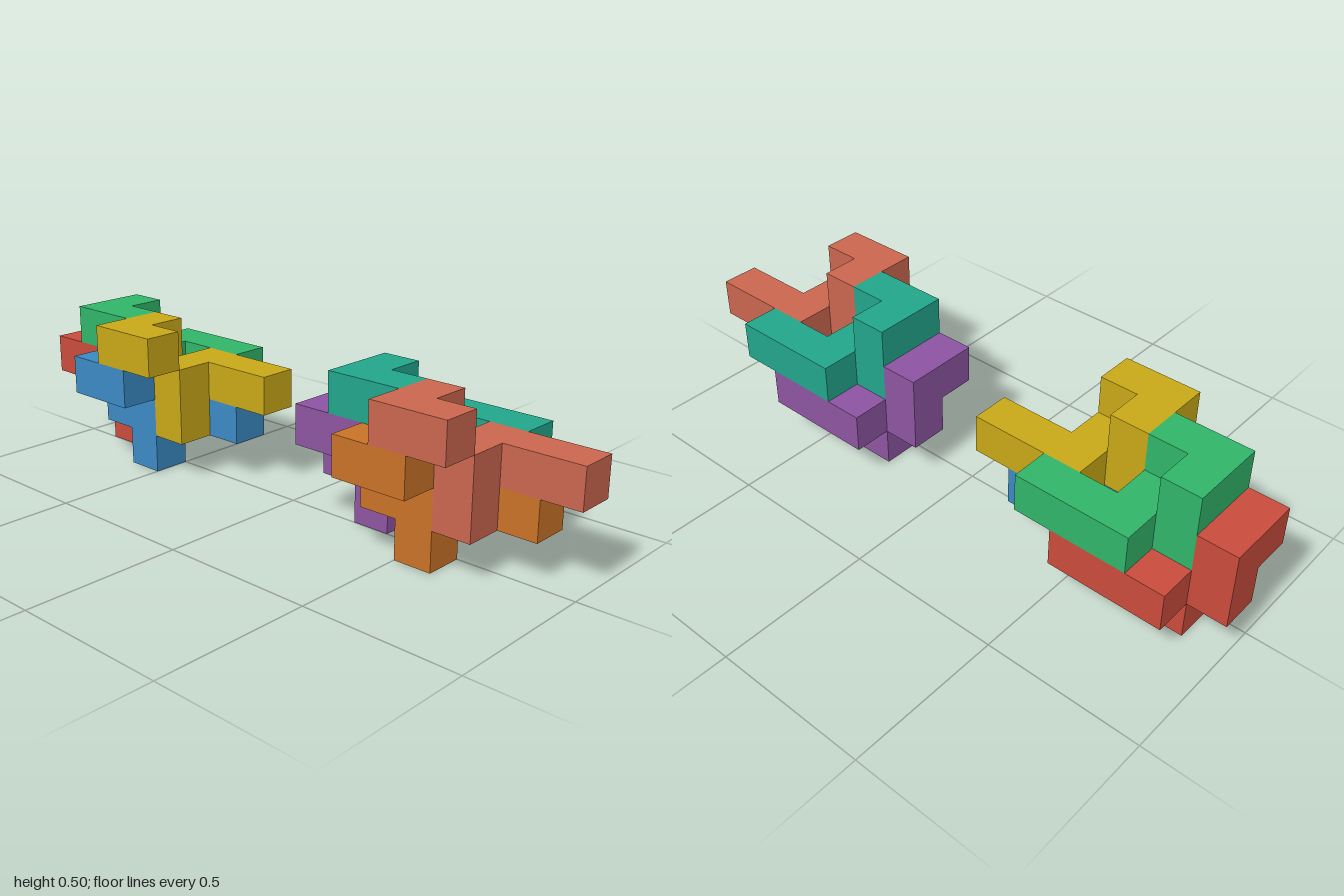
import * as THREE from 'three';
import { mergeGeometries } from 'three/addons/utils/BufferGeometryUtils.js';

const U = 0.125; // edge of one unit cube

// Cells of the burr piece, walked from the end of its bar to its hook, plus the leg
const CELLS = [
  [3, 1, 0], [2, 1, 0], [1, 1, 0], // bar
  [1, 1, 1], [0, 1, 1],            // step
  [0, 2, 1], [0, 2, 2], [1, 2, 2], // raised hook
  [1, 0, 1],                       // leg
];

// Outer skin of the piece: a square wherever a cell has no neighbour
function pieceGeometry() {
  const filled = new Set(CELLS.map(String));
  const directions = [[1, 0, 0], [-1, 0, 0], [0, 1, 0], [0, -1, 0], [0, 0, 1], [0, 0, -1]];
  const forward = new THREE.Vector3(0, 0, 1);
  const faces = [];
  for (const cell of CELLS) {
    for (const d of directions) {
      if (filled.has(String(cell.map((c, a) => c + d[a])))) continue;
      const face = new THREE.PlaneGeometry(U, U);
      face.applyQuaternion(new THREE.Quaternion().setFromUnitVectors(forward, new THREE.Vector3(...d)));
      face.translate(...cell.map((c, a) => (c + 0.5 + d[a] / 2) * U));
      faces.push(face);
    }
  }
  return mergeGeometries(faces);
}

export function createModel() {
  const model = new THREE.Group();
  model.name = 'interlockingPuzzle';
  const geometry = pieceGeometry();

  // Grid offsets of the four interlocked pieces
  const places = [
    ['backLowerPiece', 0, 0, 0],
    ['backUpperPiece', 1, 1, 0],
    ['frontLowerPiece', 2, 0, 1],
    ['frontUpperPiece', 3, 1, 1],
  ];
  // The same cluster twice, side by side, in different colours
  const clusters = [
    ['rightCluster', -1, [0xc84b3c, 0x31b469, 0x3a89c2, 0xc8a818]],
    ['leftCluster', 0.125, [0x8c54a1, 0x22a58b, 0xc87228, 0xc9664e]],
  ];

  for (const [clusterName, x, colors] of clusters) {
    const cluster = new THREE.Group();
    cluster.name = clusterName;
    cluster.position.set(x, 0, -0.25);
    places.forEach(([name, i, j, k], n) => {
      const piece = new THREE.Mesh(geometry, new THREE.MeshStandardMaterial({ color: colors[n] }));
      piece.name = name;
      piece.position.set(i * U, j * U, k * U);
      cluster.add(piece);
    });
    model.add(cluster);
  }
  return model;
}
